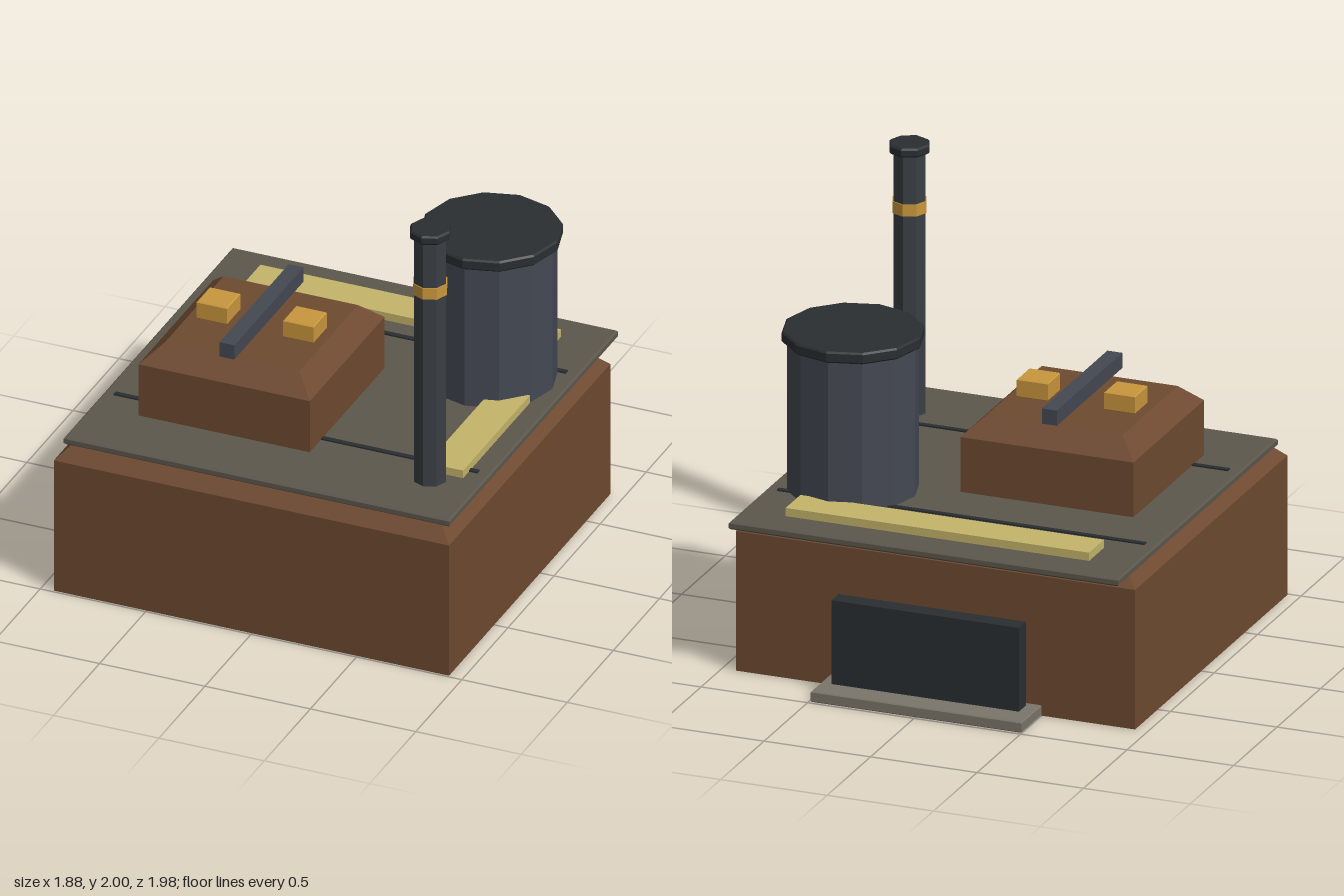
import * as THREE from 'three';

const COLORS = {
  brick: 0x6e4a30, slab: 0x5c574c, stone: 0x7a756a, straw: 0xc4b46a,
  black: 0x2a2e31, iron: 0x444852, pipe: 0x3a3f44, brass: 0xc8963c,
};
const materials = {};
for (const key in COLORS) {
  materials[key] = new THREE.MeshStandardMaterial({ color: COLORS[key], flatShading: true });
}

export function createModel() {
  const model = new THREE.Group();

  function add(name, geometry, material, x = 0, y = 0, z = 0) {
    const mesh = new THREE.Mesh(geometry, materials[material]);
    mesh.name = name;
    mesh.position.set(x, y, z);
    model.add(mesh);
    return mesh;
  }

  // Box given by its limits on each axis
  function box(name, material, [x0, x1], [y0, y1], [z0, z1]) {
    return add(name, new THREE.BoxGeometry(x1 - x0, y1 - y0, z1 - z0), material,
      (x0 + x1) / 2, (y0 + y1) / 2, (z0 + z1) / 2);
  }

  // Box whose edges slope inwards: levels are [y, inset] from bottom to top
  function chamferBox(name, material, [x0, x1], [z0, z1], levels) {
    const pos = [];
    const rings = levels.map(([y, i]) => [
      [x0 + i, y, z1 - i], [x1 - i, y, z1 - i], [x1 - i, y, z0 + i], [x0 + i, y, z0 + i],
    ]);
    const quad = (a, b, c, d) => pos.push(...a, ...b, ...c, ...a, ...c, ...d);
    for (let r = 0; r < rings.length - 1; r++) {
      for (let k = 0; k < 4; k++) {
        const n = (k + 1) % 4;
        quad(rings[r][k], rings[r][n], rings[r + 1][n], rings[r + 1][k]);
      }
    }
    quad(...rings[rings.length - 1]);
    quad(...[...rings[0]].reverse());
    const geometry = new THREE.BufferGeometry();
    geometry.setAttribute('position', new THREE.Float32BufferAttribute(pos, 3));
    geometry.computeVertexNormals();
    return add(name, geometry, material);
  }

  // Faceted upright drum
  function drum(name, material, radius, y0, y1, sides, x, z) {
    return add(name, new THREE.CylinderGeometry(radius, radius, y1 - y0, sides), material,
      x, (y0 + y1) / 2, z);
  }

  // Faceted cap with softened rims
  function cap(name, radius, y0, y1, sides, x, z) {
    const b = 0.008, h = y1 - y0;
    const profile = [[0, 0], [radius - b, 0], [radius, b], [radius, h - b], [radius - b, h], [0, h]]
      .map(([r, y]) => new THREE.Vector2(r, y));
    const geometry = new THREE.LatheGeometry(profile, sides).toNonIndexed();
    geometry.computeVertexNormals();
    return add(name, geometry, 'black', x, y0, z);
  }

  // Main body and overhanging roof slab
  chamferBox('body', 'brick', [-0.94, 0.935], [-0.76, 0.99], [[0, 0], [0.65, 0], [0.71, 0.058]]);
  chamferBox('roofSlab', 'slab', [-0.916, 0.914], [-0.894, 0.938],
    [[0.708, 0.008], [0.716, 0], [0.737, 0], [0.745, 0.008]]);

  // Roof seams and pale strips
  for (const z of [-0.46, 0.5]) {
    box('roofSeam', 'black', [-0.865, 0.86], [0.735, 0.752], [z - 0.012, z + 0.012]);
  }
  box('backStrip', 'straw', [-0.715, 0.71], [0.735, 0.783], [-0.738, -0.568]);
  box('sideStrip', 'straw', [0.65, 0.82], [0.735, 0.783], [-0.15, 0.575]);

  // Raised hatch with knobs and bar
  chamferBox('hatch', 'brick', [-0.695, 0.118], [-0.18, 0.632],
    [[0.74, 0], [1.0, 0], [1.085, 0.088]]);
  for (const x of [-0.493, -0.083]) {
    chamferBox('hatchKnob', 'brass', [x - 0.073, x + 0.073], [0.155, 0.298],
      [[1.085, 0.005], [1.09, 0], [1.165, 0], [1.17, 0.005]]);
  }
  box('hatchBar', 'iron', [-0.324, -0.254], [1.107, 1.178], [-0.152, 0.6]);

  // Water tank
  drum('tank', 'iron', 0.29, 0.74, 1.437, 12, 0.57, -0.305);
  cap('tankLid', 0.314, 1.435, 1.488, 12, 0.57, -0.305);

  // Chimney
  drum('chimney', 'pipe', 0.075, 0.74, 1.96, 8, 0.69, 0.635);
  drum('chimneyBand', 'brass', 0.08, 1.68, 1.735, 8, 0.69, 0.635);
  cap('chimneyCap', 0.094, 1.957, 2.0, 8, 0.69, 0.635);

  // Rear door and step
  box('door', 'black', [-0.44, 0.44], [0.002, 0.44], [-0.872, -0.79]);
  chamferBox('doorStep', 'stone', [-0.5, 0.49], [-0.988, -0.76],
    [[0, 0.004], [0.004, 0], [0.045, 0], [0.05, 0.004]]);

  return model;
}
